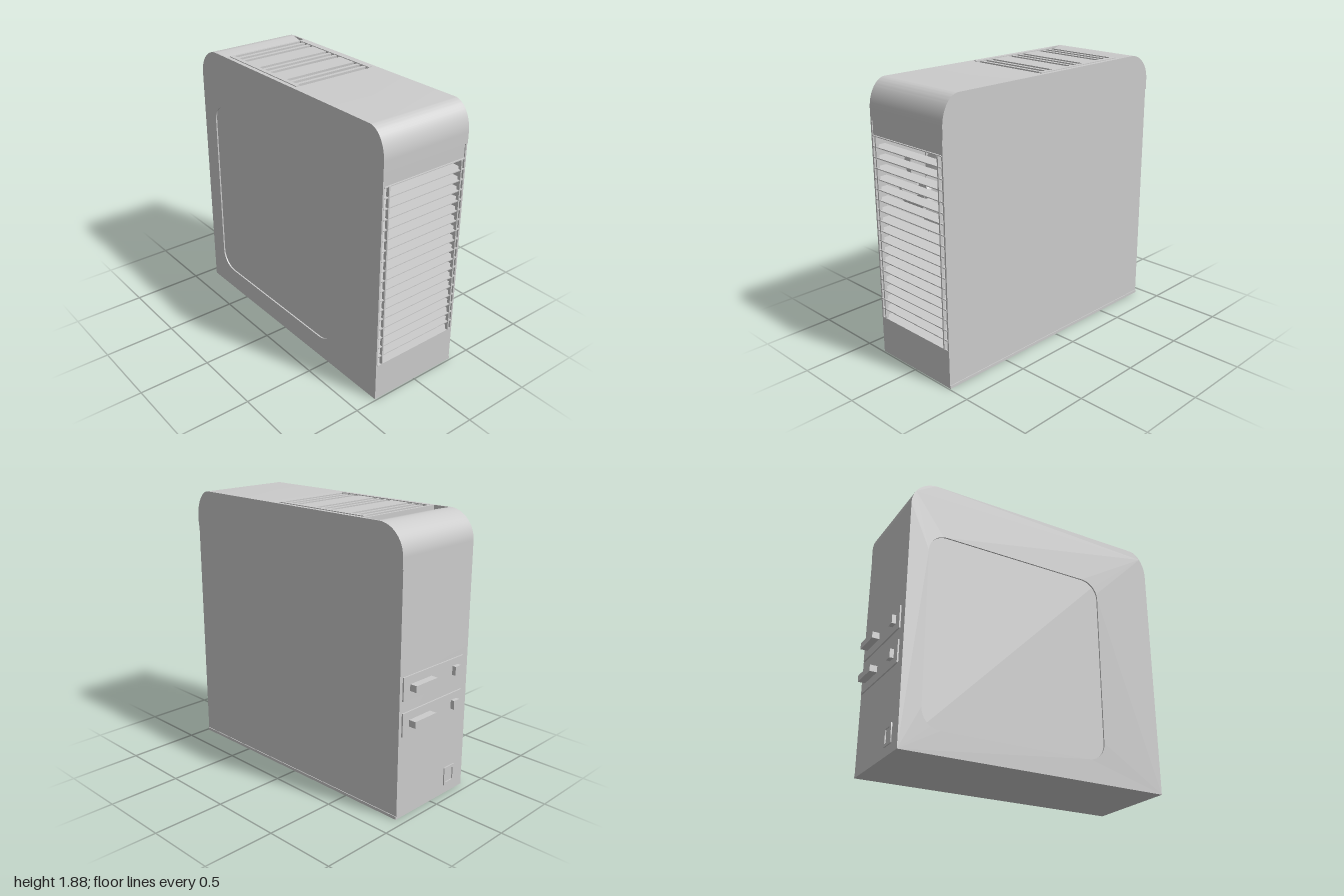
import * as THREE from 'three';
import { toCreasedNormals } from 'three/addons/utils/BufferGeometryUtils.js';

const mat = new THREE.MeshStandardMaterial({ color: 0xcccccc });
const thin = new THREE.MeshStandardMaterial({ color: 0xcccccc, side: THREE.DoubleSide });
const L = -0.94, R = 0.99, TOP = 1.88, SEAM = 1.62, RY = 0.19, RL = 0.19, RR = 0.13;
const VENT_L = -0.63, VENT_R = 0.16, T = 0.03;

function add(parent, name, geo, material = mat) {
  const mesh = new THREE.Mesh(geo, material);
  mesh.name = name;
  parent.add(mesh);
  return mesh;
}

// Box given by its minimum and maximum corners
function box(parent, name, [x0, y0, z0], [x1, y1, z1]) {
  const mesh = add(parent, name, new THREE.BoxGeometry(x1 - x0, y1 - y0, z1 - z0));
  mesh.position.set((x0 + x1) / 2, (y0 + y1) / 2, (z0 + z1) / 2);
  return mesh;
}

function slab(parent, name, shape, z0, z1) {
  const geo = new THREE.ExtrudeGeometry(shape, { depth: z1 - z0, bevelEnabled: false, curveSegments: 14 });
  geo.translate(0, 0, z0);
  return add(parent, name, toCreasedNormals(geo, 0.5));
}

// Case outline above a given height, with rounded top corners
function outline(y0) {
  const s = new THREE.Shape();
  s.moveTo(L, y0);
  s.lineTo(R, y0);
  s.absellipse(R - RR, TOP - RY, RR, RY, 0, Math.PI / 2, false);
  s.absellipse(L + RL, TOP - RY, RL, RY, Math.PI / 2, Math.PI, false);
  s.closePath();
  return s;
}

function roundedRect(path, x0, y0, x1, y1, r) {
  path.absarc(x1 - r, y0 + r, r, -Math.PI / 2, 0, false);
  path.absarc(x1 - r, y1 - r, r, 0, Math.PI / 2, false);
  path.absarc(x0 + r, y1 - r, r, Math.PI / 2, Math.PI, false);
  path.absarc(x0 + r, y0 + r, r, Math.PI, Math.PI * 1.5, false);
  path.closePath();
  return path;
}

// Fan facing +z, with swept, pitched blades
function makeFan(name, radius) {
  const fan = new THREE.Group();
  fan.name = name;
  for (let i = 0; i < 5; i++) {
    const geo = new THREE.PlaneGeometry(1, 1, 8, 6);
    const p = geo.attributes.position;
    for (let k = 0; k < p.count; k++) {
      const u = p.getX(k) + 0.5, v = p.getY(k);
      const r = radius * (0.1 + 0.9 * u) * (1 - 0.12 * u * v * v * 4);
      const a = v * (0.45 + 0.4 * u) - 0.45 * u * u;
      p.setXYZ(k, r * Math.cos(a), r * Math.sin(a), -v * 0.055);
    }
    geo.computeVertexNormals();
    add(fan, 'fanBlade', geo, thin).rotation.z = (i * Math.PI * 2) / 5 + Math.PI / 2;
  }
  const hub = add(fan, 'fanHub', new THREE.CylinderGeometry(0.05, 0.06, 0.05, 20));
  hub.rotation.x = Math.PI / 2;
  return fan;
}

export function createModel() {
  const model = new THREE.Group();
  model.name = 'computerCase';

  // Front face with a shallow rounded recess
  const front = outline(0);
  front.holes.push(roundedRect(new THREE.Path(), -0.8, 0.155, 0.53, 1.5, 0.13));
  slab(model, 'frontPanel', front, 0.328, 0.34);
  box(model, 'frontRecess', [-0.85, 0.1, 0.316], [0.58, 1.55, 0.33]);

  // Back face: cap, slightly inset panel and base lip
  slab(model, 'backCap', outline(SEAM), -0.34, -0.328);
  box(model, 'backPanel', [L, 0.02, -0.335], [R, SEAM, -0.322]);
  box(model, 'backBaseLip', [L, 0, -0.34], [R, 0.02, -0.328]);

  // Wall running from the top vent around the left side and along the bottom
  const wall = new THREE.Shape();
  wall.moveTo(VENT_L, TOP);
  wall.absellipse(L + RL, TOP - RY, RL, RY, Math.PI / 2, Math.PI, false);
  wall.lineTo(L, 0);
  wall.lineTo(R, 0);
  wall.lineTo(R, 0.265);
  wall.lineTo(R - T, 0.265);
  wall.lineTo(R - T, T);
  wall.lineTo(L + T, T);
  wall.absellipse(L + RL, TOP - RY, RL - T, RY - T, Math.PI, Math.PI / 2, true);
  wall.lineTo(VENT_L, TOP - T);
  wall.closePath();
  slab(model, 'lowerWall', wall, -0.328, 0.328);

  // Cap wall from the grille opening to the top vent, stepped at the seam
  const cap = new THREE.Shape();
  cap.moveTo(R - 0.006, 1.525);
  cap.lineTo(R - 0.006, SEAM);
  cap.lineTo(R, SEAM);
  cap.absellipse(R - RR, TOP - RY, RR, RY, 0, Math.PI / 2, false);
  cap.lineTo(VENT_R, TOP);
  cap.lineTo(VENT_R, TOP - T);
  cap.absellipse(R - RR, TOP - RY, RR - T, RY - T, Math.PI / 2, 0, true);
  cap.lineTo(R - T, 1.525);
  cap.closePath();
  slab(model, 'capWall', cap, -0.328, 0.328);

  // Top vent: three groups of three long slots
  const vent = new THREE.Shape();
  vent.moveTo(VENT_L, -0.328);
  vent.lineTo(VENT_R, -0.328);
  vent.lineTo(VENT_R, 0.328);
  vent.lineTo(VENT_L, 0.328);
  vent.closePath();
  for (const start of [-0.61, -0.31, -0.01])
    for (let i = 0; i < 3; i++) {
      const x = start + i * 0.06;
      vent.holes.push(roundedRect(new THREE.Path(), x, -0.28, x + 0.034, 0.28, 0.005));
    }
  const ventPlate = slab(model, 'topVent', vent, 0, T);
  ventPlate.rotation.x = -Math.PI / 2;
  ventPlate.position.y = TOP - T;
  for (const side of [-1, 1]) {
    const rail = box(model, 'ventRail', [-0.61, TOP - 0.01, -0.015], [0.14, TOP + 0.005, 0.015]);
    rail.position.z = side * 0.296;
  }

  // Side grille with louvre slats and uprights
  const grille = new THREE.Group();
  grille.name = 'sideGrille';
  model.add(grille);
  for (let i = 0; i <= 18; i++) {
    const y = 0.265 + i * 0.07;
    box(grille, 'louvreSlat', [0.9, y - 0.003, -0.328], [0.994, y + 0.003, 0.328]);
  }
  for (const z of [-0.295, 0.295])
    box(grille, 'grilleUpright', [0.975, 0.265, z - 0.005], [0.997, 1.525, z + 0.005]);

  // Two side fans behind the grille and one under the top vent
  for (const y of [0.56, 1.21]) {
    const fan = makeFan('sideFan', 0.265);
    fan.rotation.y = Math.PI / 2;
    fan.position.set(0.85, y, 0);
    model.add(fan);
  }
  const topFan = makeFan('topFan', 0.29);
  topFan.rotation.x = -Math.PI / 2;
  topFan.position.set(-0.24, 1.78, 0);
  model.add(topFan);

  // Drive bays on the left wall, each with a handle and a latch
  for (const y of [0.64, 0.875]) {
    const bay = new THREE.Group();
    bay.name = 'driveBay';
    bay.position.y = y;
    model.add(bay);
    box(bay, 'bayPlate', [-0.95, -0.078, -0.31], [-0.93, 0.078, 0.28]);
    box(bay, 'bayHandle', [-1, -0.022, -0.25], [-0.94, 0.022, -0.045]);
    box(bay, 'bayLatch', [-0.977, -0.03, 0.17], [-0.94, 0.03, 0.225]);
  }

  // Small framed socket near the bottom of the left wall
  const frame = roundedRect(new THREE.Shape(), -0.055, 0.06, 0.055, 0.19, 0.008);
  frame.holes.push(roundedRect(new THREE.Path(), -0.035, 0.08, 0.035, 0.17, 0.005));
  const socket = slab(model, 'socketFrame', frame, 0, 0.012);
  socket.rotation.y = -Math.PI / 2;
  socket.position.set(-0.936, 0, 0.195);

  return model;
}
